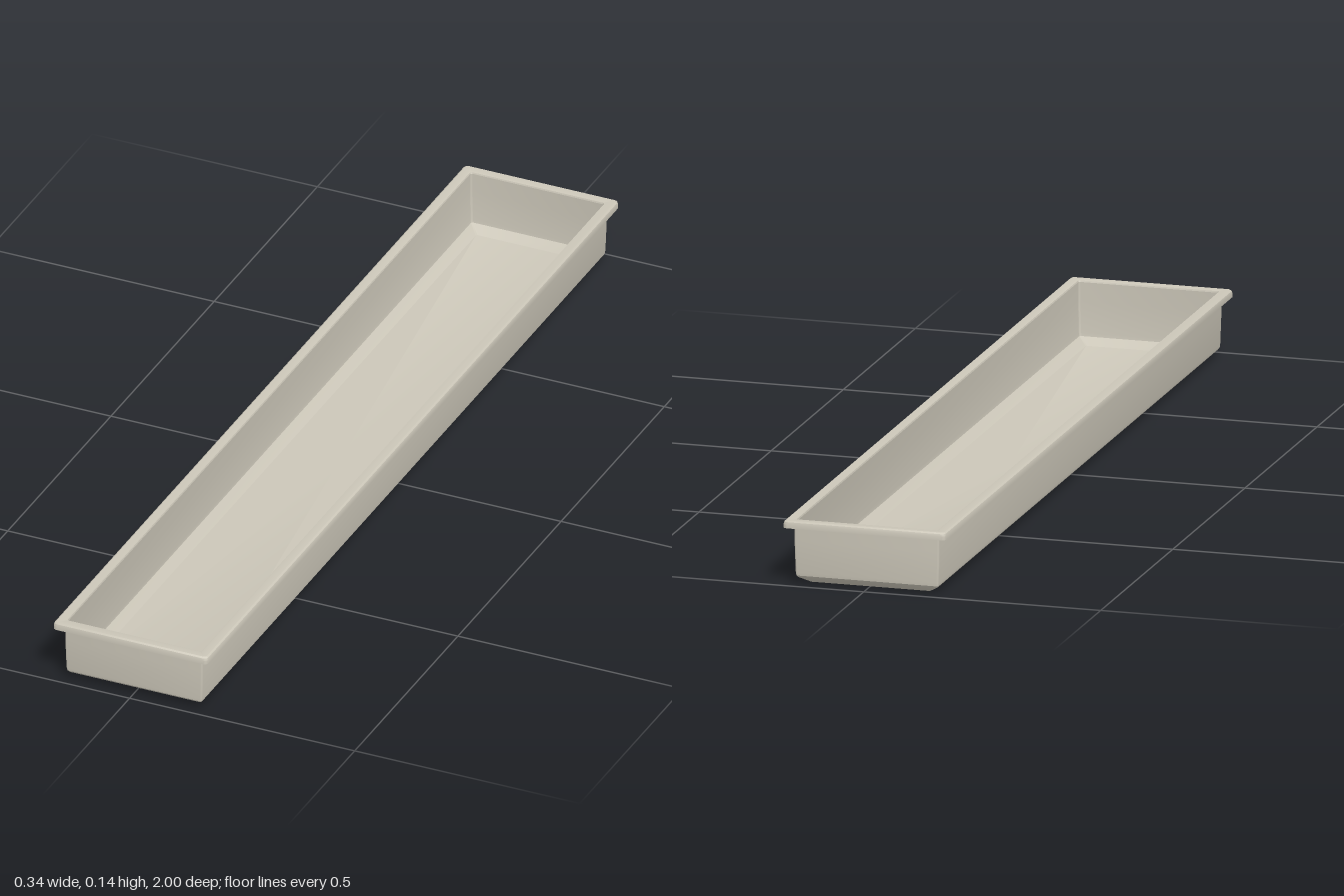
import * as THREE from 'three';
import { toCreasedNormals } from 'three/addons/utils/BufferGeometryUtils.js';

const LENGTH_EXTRA = 0.828; // half length minus half width
const SEGS = 4; // segments per rounded corner

// rounded rectangle ring at half width w, height y, corner radius r
function ring(w, y, r) {
  const pts = [];
  for (let q = 0; q < 4; q++) {
    const sx = q === 0 || q === 3 ? 1 : -1;
    const sz = q < 2 ? 1 : -1;
    for (let s = 0; s <= SEGS; s++) {
      const a = (q + s / SEGS) * Math.PI / 2;
      pts.push([sx * (w - r) + r * Math.cos(a), y, sz * (w + LENGTH_EXTRA - r) + r * Math.sin(a)]);
    }
  }
  return pts;
}

// skin successive rings, optionally closing the first or last with a flat cap
function loft(profile, capStart, capEnd) {
  const rings = profile.map(([w, y, r]) => ring(w, y, r));
  const n = rings[0].length;
  const pos = rings.flat(2);
  const idx = [];
  for (let k = 0; k < rings.length - 1; k++) {
    for (let i = 0; i < n; i++) {
      const j = (i + 1) % n;
      const a = k * n + i, b = k * n + j;
      idx.push(a, a + n, b, b, a + n, b + n);
    }
  }
  const cap = (k, flip) => {
    const c = pos.length / 3;
    pos.push(0, profile[k][1], 0);
    for (let i = 0; i < n; i++) {
      const a = k * n + i, b = k * n + (i + 1) % n;
      idx.push(c, flip ? b : a, flip ? a : b);
    }
  };
  if (capStart) cap(0, false);
  if (capEnd) cap(rings.length - 1, true);
  const geo = new THREE.BufferGeometry();
  geo.setAttribute('position', new THREE.Float32BufferAttribute(pos, 3));
  geo.setIndex(idx);
  return toCreasedNormals(geo, 0.5);
}

export function createModel() {
  const group = new THREE.Group();
  group.name = 'tray';
  const enamel = new THREE.MeshStandardMaterial({ color: 0xcbc6b8 });
  enamel.name = 'warm grey';
  const add = (name, geo) => {
    const mesh = new THREE.Mesh(geo, enamel);
    mesh.name = name;
    group.add(mesh);
  };

  // outer shell: flat base, bevelled foot, nearly upright walls
  add('outerShell', loft([
    [0.127, 0, 0.004], [0.147, 0.013, 0.004], [0.150, 0.017, 0.004],
    [0.151, 0.024, 0.004], [0.153, 0.09, 0.004], [0.153, 0.131, 0.004],
  ], true, false));

  // folded lip: hollow underside, rounded top edge
  add('rim', loft([
    [0.153, 0.131, 0.004], [0.167, 0.131, 0.006], [0.168, 0.12, 0.007],
    [0.172, 0.12, 0.01], [0.172, 0.128, 0.01], [0.1705, 0.1325, 0.009],
    [0.167, 0.135, 0.006], [0.152, 0.135, 0.004], [0.149, 0.134, 0.004], [0.148, 0.131, 0.004],
  ], false, false));

  // inner basin: walls, sloped border and floor
  add('innerBasin', loft([
    [0.148, 0.131, 0.004], [0.148, 0.09, 0.004], [0.146, 0.026, 0.004],
    [0.145, 0.019, 0.004], [0.125, 0.005, 0.004],
  ], false, true));

  return group;
}
